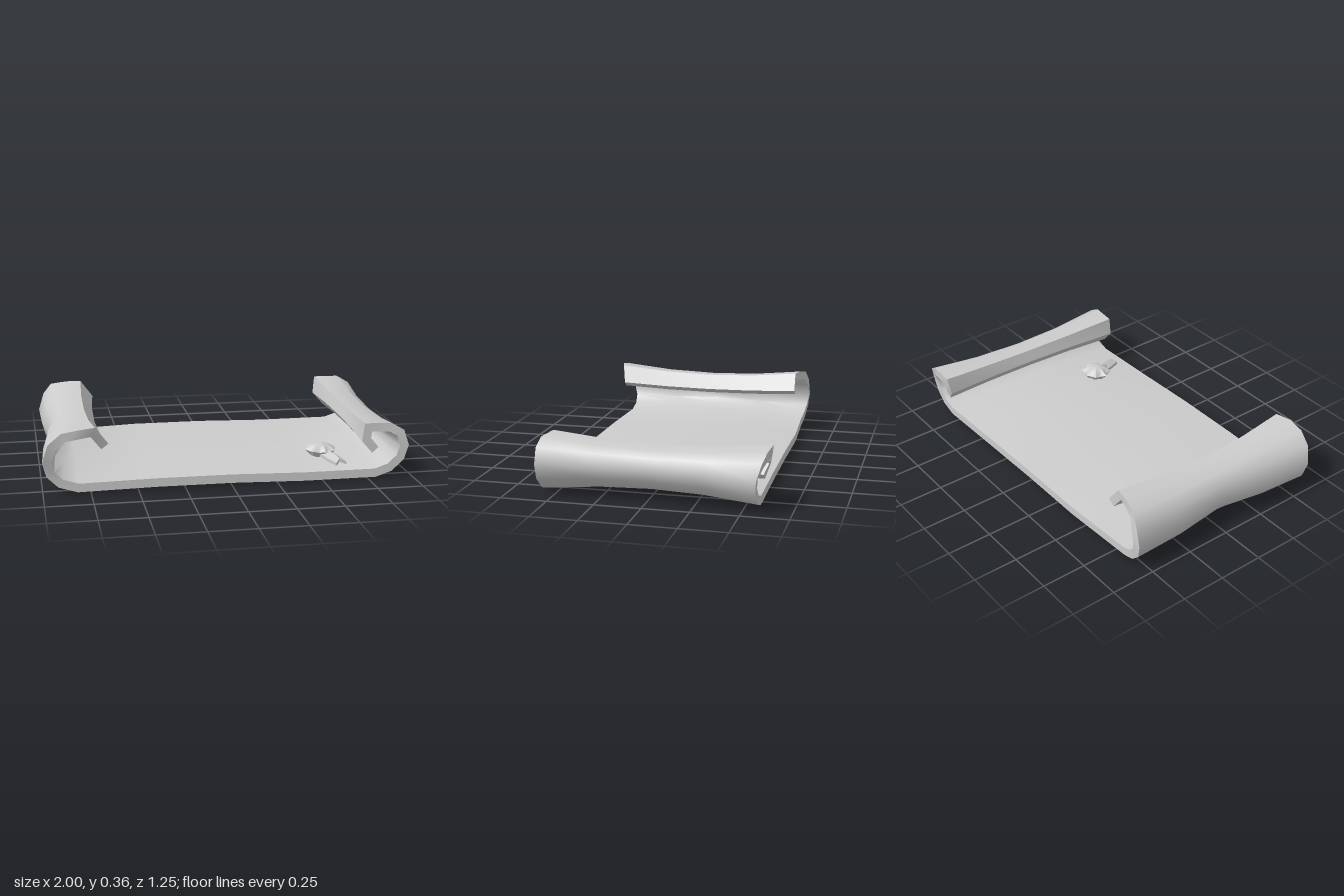
import * as THREE from 'three';
import { toCreasedNormals } from 'three/addons/utils/BufferGeometryUtils.js';

const paper = new THREE.MeshStandardMaterial({ color: 0xcccccc });
paper.name = 'paper grey';

// Outer side of the sheet from left tip to right tip: x, y, front z, back z
const PROFILE = [
  [-0.655, 0.265, 0.57, -0.515], [-0.725, 0.36, 0.595, -0.51], [-0.81, 0.357, 0.62, -0.525],
  [-0.9, 0.34, 0.615, -0.55], [-0.97, 0.28, 0.605, -0.565], [-1, 0.18, 0.585, -0.57],
  [-0.98, 0.1, 0.57, -0.56], [-0.92, 0.04, 0.565, -0.55], [-0.82, 0.008, 0.565, -0.54],
  [-0.4, 0.002, 0.568, -0.567], [0, 0.002, 0.57, -0.567], [0.4, 0, 0.57, -0.567],
  [0.82, 0.005, 0.565, -0.575], [0.91, 0.035, 0.565, -0.575], [0.975, 0.1, 0.57, -0.575],
  [1, 0.18, 0.57, -0.58], [0.97, 0.265, 0.57, -0.605], [0.9, 0.305, 0.565, -0.62],
  [0.755, 0.305, 0.55, -0.625], [0.742, 0.205, 0.55, -0.61], [0.8, 0.138, 0.55, -0.59],
];
const THICKNESS = 0.047;

// Collects quads and triangles and creases the normals
function build(name, faces, crease) {
  const pos = [];
  for (const f of faces) {
    for (let i = 1; i < f.length - 1; i++) pos.push(...f[0], ...f[i], ...f[i + 1]);
  }
  const geo = new THREE.BufferGeometry();
  geo.setAttribute('position', new THREE.Float32BufferAttribute(pos, 3));
  const mesh = new THREE.Mesh(toCreasedNormals(geo, crease), paper);
  mesh.name = name;
  return mesh;
}

// Mitred inward normals along the profile
function inwardNormals() {
  const seg = PROFILE.slice(1).map((p, i) => {
    const dx = p[0] - PROFILE[i][0], dy = p[1] - PROFILE[i][1], l = Math.hypot(dx, dy);
    return [-dy / l, dx / l];
  });
  return PROFILE.map((_, i) => {
    const a = seg[Math.max(i - 1, 0)], b = seg[Math.min(i, seg.length - 1)];
    const k = 1 + a[0] * b[0] + a[1] * b[1];
    return [(a[0] + b[0]) / k, (a[1] + b[1]) / k];
  });
}

// Curled sheet: the curls narrow at the middle of the depth, the underside of the bed stays flat
function createSheet() {
  const normals = inwardNormals(), n = PROFILE.length;
  const pinchAt = (i, t) => {
    if (PROFILE[i][0] < -0.95) return 0.042 * (1 - Math.abs(t)) ** 2;
    if (i >= n - 2) return 0.015 * (1 - t * t);
    return (i === n - 3 ? 0.03 : 0.037) * (1 - t * t);
  };
  const point = (i, t, inner) => {
    const [x, y, zf, zb] = PROFILE[i];
    const bed = Math.abs(x) < 0.5;
    let d = bed ? (x < 0.1 ? 0.014 : 0.006) * t * t : 0;
    if (inner) d += THICKNESS;
    if (inner || !bed) d += pinchAt(i, t);
    let skew = 0;
    if (x > 0.7) skew = -0.0125 * (t + 1);
    if (x < -0.9) skew = 0.0125 * (1 - t);
    return [x + skew + normals[i][0] * d, y + normals[i][1] * d, zb + (zf - zb) * (t + 1) / 2];
  };
  const rings = [-1, -0.5, 0, 0.5, 1].map((t) => ({
    outer: PROFILE.map((_, i) => point(i, t, false)),
    inner: PROFILE.map((_, i) => point(i, t, true)),
  }));
  const faces = [];
  for (let j = 0; j < rings.length - 1; j++) {
    const a = [...rings[j].outer, ...rings[j].inner.slice().reverse()];
    const b = [...rings[j + 1].outer, ...rings[j + 1].inner.slice().reverse()];
    a.forEach((p, k) => {
      const m = (k + 1) % a.length;
      faces.push([p, a[m], b[m], b[k]]);
    });
  }
  // Front and back edges
  const back = rings[0], front = rings[rings.length - 1];
  for (let i = 0; i < n - 1; i++) {
    faces.push([front.outer[i], front.outer[i + 1], front.inner[i + 1], front.inner[i]]);
    faces.push([back.outer[i + 1], back.outer[i], back.inner[i], back.inner[i + 1]]);
  }
  return build('curledSheet', faces, 0.8);
}

// Eight-pointed puffy rosette
function createRosette() {
  const count = 16, cx = 0.55, cz = 0.31;
  const ring = (rTip, rDip, yTip, yDip) => Array.from({ length: count }, (_, i) => {
    const a = (i / count) * Math.PI * 2 + 0.1, tip = i % 2 === 0, r = tip ? rTip : rDip;
    return [cx + Math.cos(a) * r, tip ? yTip : yDip, cz - Math.sin(a) * r];
  });
  const loops = [ring(0.055, 0.055, 0.07, 0.07), ring(0.09, 0.07, 0.108, 0.1), ring(0.05, 0.046, 0.132, 0.127)];
  const faces = [];
  for (let i = 0; i < count; i++) {
    const m = (i + 1) % count;
    for (let j = 0; j < 2; j++) {
      faces.push([loops[j][i], loops[j][m], loops[j + 1][m]], [loops[j][i], loops[j + 1][m], loops[j + 1][i]]);
    }
    faces.push([loops[2][i], loops[2][m], [cx, 0.138, cz]]);
    faces.push([loops[0][m], loops[0][i], [cx, 0.07, cz]]);
  }
  return build('sealRosette', faces, 0.8);
}

// Ribbon tail with a lengthwise ridge and a notched end
function createRibbon() {
  const rows = [
    [[0.53, 0.095, 0.36], [0.57, 0.11, 0.35], [0.605, 0.095, 0.34]],
    [[0.555, 0.086, 0.43], [0.595, 0.108, 0.42], [0.632, 0.086, 0.41]],
    [[0.59, 0.076, 0.505], [0.613, 0.094, 0.48], [0.652, 0.076, 0.485]],
  ];
  const low = rows.map((r) => r.map(([x, y, z]) => [x, y - 0.018, z]));
  const faces = [];
  for (let r = 0; r < 2; r++) {
    for (let c = 0; c < 2; c++) {
      faces.push([rows[r][c], rows[r + 1][c], rows[r + 1][c + 1], rows[r][c + 1]]);
      faces.push([low[r][c], low[r][c + 1], low[r + 1][c + 1], low[r + 1][c]]);
    }
    faces.push([rows[r][0], low[r][0], low[r + 1][0], rows[r + 1][0]]);
    faces.push([rows[r + 1][2], low[r + 1][2], low[r][2], rows[r][2]]);
  }
  for (let c = 0; c < 2; c++) {
    faces.push([rows[2][c], low[2][c], low[2][c + 1], rows[2][c + 1]]);
    faces.push([rows[0][c + 1], low[0][c + 1], low[0][c], rows[0][c]]);
  }
  return build('sealRibbon', faces, 0.6);
}

export function createModel() {
  const group = new THREE.Group();
  group.name = 'scroll';
  group.add(createSheet(), createRosette(), createRibbon());
  return group;
}
